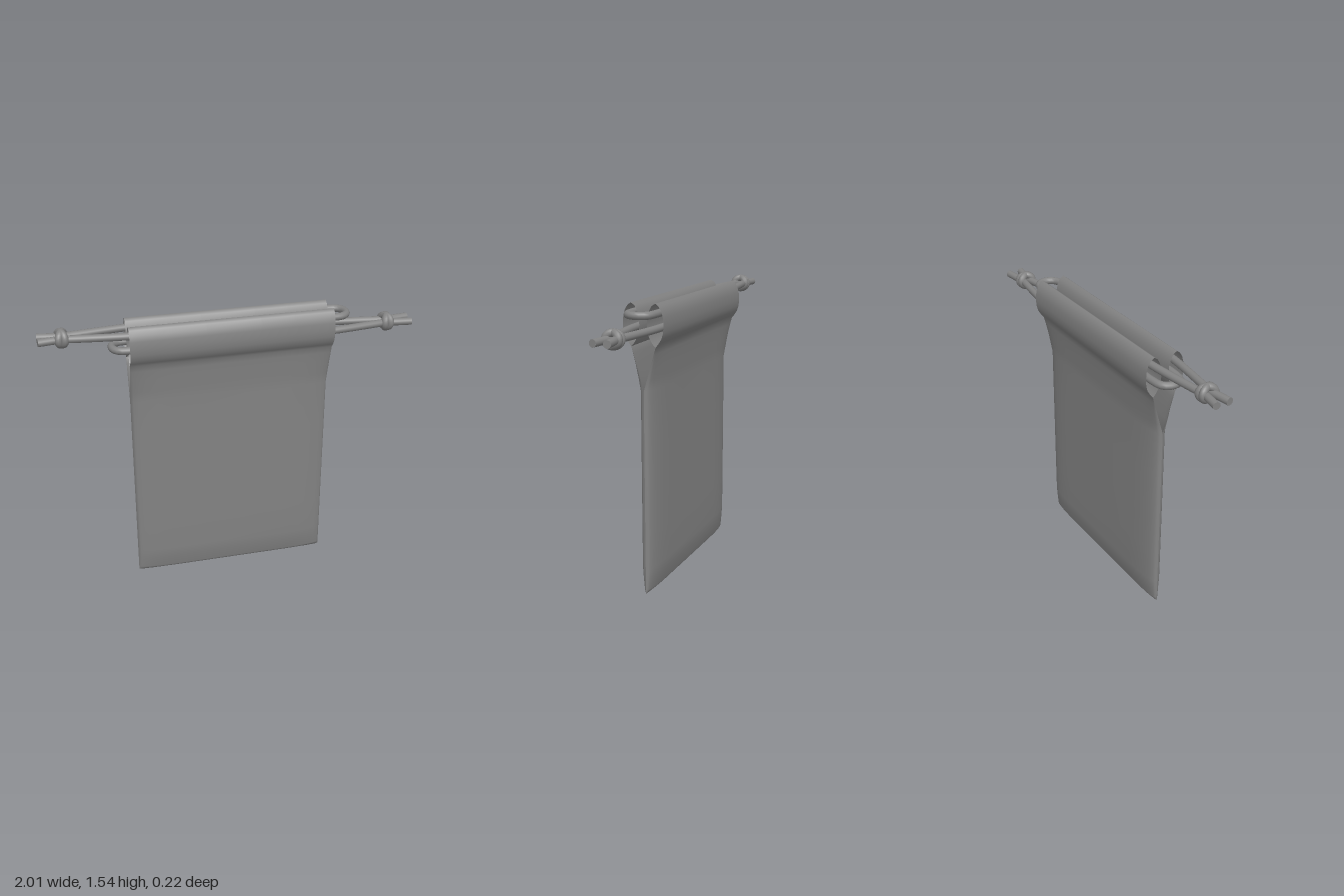
import * as THREE from 'three';

const GREY = 0x828282;
const material = new THREE.MeshStandardMaterial({ color: GREY });
const cloth = new THREE.MeshStandardMaterial({ color: GREY, side: THREE.DoubleSide });
const CORD_RADIUS = 0.02;

function add(parent, name, geometry, mat = material) {
  const mesh = new THREE.Mesh(geometry, mat);
  mesh.name = name;
  parent.add(mesh);
  return mesh;
}

// One cloth side: rows of [y, z in the middle, z at the side seam], from the
// bottom seam up the panel and around the hollow hem.
function clothSide() {
  const panel = [
    [0, 0, 0], [0.012, 0.017, 0], [0.025, 0.025, 0], [0.09, 0.036, 0], [0.15, 0.044, 0],
    [0.35, 0.045, 0], [0.6, 0.045, 0], [0.85, 0.045, 0], [1.1, 0.045, 0],
    [1.16, 0.049, 0.018], [1.24, 0.056, 0.041], [1.29, 0.061, 0.056], [1.325, 0.066, 0.066],
  ];
  const hem = [
    [1.345, 0.082], [1.37, 0.098], [1.4, 0.107], [1.435, 0.11], [1.475, 0.107], [1.505, 0.099],
    [1.53, 0.084], [1.543, 0.066], [1.53, 0.046], [1.505, 0.032], [1.475, 0.024], [1.435, 0.02],
    [1.4, 0.024], [1.37, 0.034], [1.345, 0.048], [1.325, 0.066],
  ].map(([y, z]) => [y, z, z]);
  const rows = [...panel, ...hem];

  // Distance from the side seam and how full the cloth is there
  const half = [[0, 0], [0.005, 0.3], [0.014, 0.5], [0.04, 0.68], [0.08, 0.84], [0.14, 0.95], [0.22, 1], [0.4, 1]];
  const columns = [
    ...half.map(([d, f]) => [d - 0.545, f]),
    ...half.map(([d, f]) => [0.545 - d, f]).reverse(),
  ];

  const geometry = new THREE.PlaneGeometry(1, 1, columns.length - 1, rows.length - 1);
  const position = geometry.attributes.position;
  for (let j = 0; j < rows.length; j++) {
    const [y, middle, edge] = rows[rows.length - 1 - j];
    columns.forEach(([x, full], i) => {
      const lift = y < 0.1 ? 0.008 * (1 - full) * (1 - y / 0.1) : 0;
      position.setXYZ(j * columns.length + i, x, y + lift, edge + (middle - edge) * full);
    });
  }
  geometry.computeVertexNormals();
  return geometry;
}

// Closed wrap of cord around the two strands
function wrapGeometry() {
  const points = [];
  for (let i = 0; i < 12; i++) {
    const a = (i / 12) * Math.PI * 2;
    points.push(new THREE.Vector3(0, 0.032 * Math.sin(a), 0.039 * Math.cos(a)));
  }
  return new THREE.TubeGeometry(new THREE.CatmullRomCurve3(points, true), 32, CORD_RADIUS, 10, true);
}

// Drawstring: loop at +x, two knotted tails at -x
function drawstring(name, knotX) {
  const group = new THREE.Group();
  group.name = name;
  const side = [
    [-1, 0.037], [knotX - 0.06, 0.028], [knotX, 0.02], [knotX + 0.06, 0.028], [-0.55, 0.06], [-0.4, 0.065],
    [0, 0.065], [0.4, 0.065], [0.54, 0.065], [0.595, 0.057], [0.622, 0.033],
  ];
  const points = [
    ...side.map(([x, z]) => new THREE.Vector3(x, 0, z)),
    new THREE.Vector3(0.63, 0, 0),
    ...side.map(([x, z]) => new THREE.Vector3(x, 0, -z)).reverse(),
  ];
  const curve = new THREE.CatmullRomCurve3(points);
  add(group, 'cord', new THREE.TubeGeometry(curve, 160, CORD_RADIUS, 12));
  for (const z of [-0.037, 0.037]) {
    const cap = add(group, 'cordEnd', new THREE.CircleGeometry(CORD_RADIUS, 12));
    cap.position.set(-1, 0, z);
    cap.rotation.y = -Math.PI / 2 + Math.sign(z) * 0.15;
  }

  // Knot of two crossed wraps
  const knot = new THREE.Group();
  knot.name = 'knot';
  knot.position.x = knotX;
  for (const tilt of [-0.42, 0.42]) add(knot, 'knotWrap', wrapGeometry()).rotation.y = tilt;
  group.add(knot);
  return group;
}

export function createModel() {
  const model = new THREE.Group();
  model.name = 'drawstringPouch';

  const bag = new THREE.Group();
  bag.name = 'bag';
  bag.position.x = -0.005;
  add(bag, 'frontPanel', clothSide(), cloth);
  add(bag, 'backPanel', clothSide(), cloth).rotation.y = Math.PI;
  model.add(bag);

  const upper = drawstring('upperDrawstring', -0.88);
  upper.position.y = 1.492;
  const lower = drawstring('lowerDrawstring', -0.865);
  lower.position.y = 1.415;
  lower.rotation.y = Math.PI;
  model.add(upper, lower);
  return model;
}
